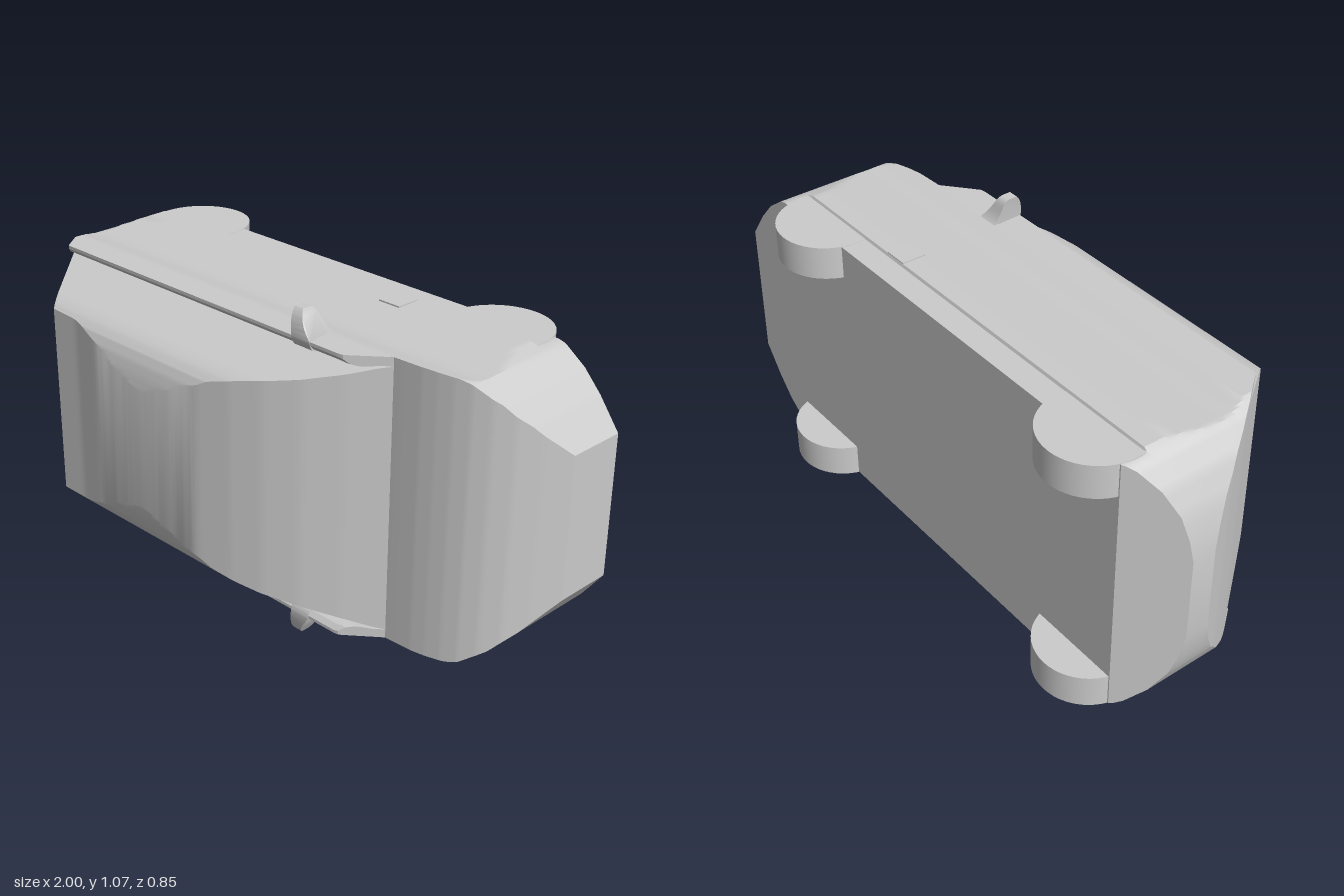
import * as THREE from 'three';
import { toCreasedNormals } from 'three/addons/utils/BufferGeometryUtils.js';

const material = new THREE.MeshStandardMaterial({ color: 0xcccccc, side: THREE.DoubleSide });

// The car lies on its side: length along x, height along z, width along y.
// Each rule is a list of [input, value] pairs read by linear interpolation.
const rule = (pts) => (t) => {
  if (t <= pts[0][0]) return pts[0][1];
  for (let i = 1; i < pts.length; i++) {
    const [a, va] = pts[i - 1], [b, vb] = pts[i];
    if (t <= b) return va + ((vb - va) * (t - a)) / (b - a);
  }
  return pts[pts.length - 1][1];
};

const planHalf = rule([[-1, 0.14], [-0.99, 0.21], [-0.97, 0.29], [-0.93, 0.37], [-0.88, 0.43], [-0.84, 0.457],
  [0.74, 0.457], [0.8, 0.44], [0.87, 0.39], [0.93, 0.325], [1, 0.23]]);
const sideHalf = rule([[-0.32, 0.447], [-0.236, 0.447], [-0.232, 0.456], [-0.16, 0.455], [-0.1, 0.448], [-0.04, 0.441],
  [0.02, 0.438], [0.06, 0.441], [0.12, 0.455]]);
const bodyTop = rule([[-1, -0.1], [-0.95, -0.01], [-0.9, 0.068], [-0.86, 0.125], [0.56, 0.125], [0.65, 0.121],
  [0.7, 0.114], [0.75, 0.103], [0.8, 0.086], [0.85, 0.058], [0.9, 0.017], [0.95, -0.045], [1, -0.12]]);
const bodyBottom = rule([[-1, -0.18], [-0.85, -0.318]]);
const roofTop = rule([[-0.86, 0.125], [-0.66, 0.382], [-0.55, 0.384], [-0.45, 0.4], [-0.33, 0.416], [-0.2, 0.422],
  [-0.08, 0.416], [0.04, 0.4], [0.15, 0.372], [0.25, 0.335], [0.35, 0.282], [0.45, 0.212], [0.56, 0.12]]);
const cabinHalf = rule([[0.11, 0.43], [0.15, 0.42], [0.2, 0.4], [0.25, 0.382], [0.3, 0.363], [0.34, 0.348],
  [0.37, 0.33], [0.39, 0.31], [0.405, 0.278], [0.415, 0.24], [0.423, 0.19]]);

const range = (a, b, n) => Array.from({ length: n + 1 }, (_, i) => a + ((b - a) * i) / n);

// Skin a series of counter-clockwise (y, z) sections along x, with end caps
function loft(xs, section) {
  const pos = [], index = [];
  const rings = xs.map(section), n = rings[0].length;
  rings.forEach((ring, i) => ring.forEach(([y, z]) => pos.push(xs[i], y, z)));
  for (let i = 0; i < xs.length - 1; i++) {
    for (let j = 0; j < n; j++) {
      const k = (j + 1) % n;
      const a = i * n + j, b = i * n + k, c = a + n, d = b + n;
      index.push(a, b, c, b, d, c);
    }
  }
  [0, xs.length - 1].forEach((i) => {
    const ring = rings[i], centre = pos.length / 3;
    pos.push(xs[i], ring.reduce((s, p) => s + p[0], 0) / n, ring.reduce((s, p) => s + p[1], 0) / n);
    for (let j = 0; j < n; j++) {
      const a = i * n + j, b = i * n + ((j + 1) % n);
      if (i) index.push(centre, a, b);
      else index.push(centre, b, a);
    }
  });
  const g = new THREE.BufferGeometry();
  g.setAttribute('position', new THREE.Float32BufferAttribute(pos, 3));
  g.setIndex(index);
  return toCreasedNormals(g, 0.4);
}

// Symmetric section: up one side, across the top and down the other
function symmetric(levels, bottom, top, half) {
  const side = levels.map((l) => {
    const z = Math.min(Math.max(l, bottom), top);
    return [half(z), z];
  });
  return [...side, ...side.map(([y, z]) => [-y, z]).reverse()];
}

// Mirror pod: side outline extruded, then narrowed towards its tip
function mirrorPod() {
  const s = new THREE.Shape();
  s.moveTo(0.1, 0.44);
  s.bezierCurveTo(0.15, 0.47, 0.135, 0.535, 0.17, 0.535);
  s.lineTo(0.195, 0.535);
  s.quadraticCurveTo(0.22, 0.51, 0.22, 0.455);
  s.quadraticCurveTo(0.215, 0.415, 0.18, 0.422);
  s.lineTo(0.13, 0.425);
  const g = new THREE.ExtrudeGeometry(s, { depth: 1, bevelEnabled: false, curveSegments: 12 });
  const p = g.attributes.position;
  for (let i = 0; i < p.count; i++) {
    const z = p.getX(i), y = p.getY(i), w = p.getZ(i);
    const t = Math.max(0, (y - 0.455) / 0.08);
    const front = 0.322 - 0.05 * Math.pow(t, 0.8), back = 0.25 - 0.012 * t;
    p.setXYZ(i, front + (back - front) * w, y, z);
  }
  return toCreasedNormals(g, 0.6);
}

export function createModel() {
  const group = new THREE.Group();
  const add = (name, geometry, x = 0, y = 0, z = 0) => {
    const m = new THREE.Mesh(geometry, material);
    m.name = name;
    m.position.set(x, y, z);
    group.add(m);
    return m;
  };
  group.position.y = 0;
  const car = new THREE.Group();
  car.name = 'car';

  // Lower body with bonnet, rounded corners and sculpted flanks
  const bodyXs = [...range(-1, -0.84, 16), ...range(-0.74, 0.46, 6), 0.56, ...range(0.6, 1, 40)];
  const bodyLevels = [...range(-0.32, -0.24, 4), -0.236, -0.232, ...range(-0.22, 0.125, 30)];
  add('body', loft(bodyXs, (x) => symmetric(bodyLevels, bodyBottom(x), bodyTop(x),
    (z) => Math.min(planHalf(x), sideHalf(z)))));

  // Cabin: side taper cut by the roofline
  const cabinXs = [...range(-0.86, -0.66, 16), ...range(-0.65, 0.56, 80)];
  const cabinLevels = [...range(0.11, 0.37, 20), ...range(0.375, 0.423, 16)];
  add('cabin', loft(cabinXs, (x) => symmetric(cabinLevels, 0.11, roofTop(x), cabinHalf)));

  // Raised shoulder along each side, with a narrow slot beside the cabin
  const inner = rule([[0.11, 0.427], [0.15, 0.427], [0.18, 0.422], [0.2, 0.426], [0.217, 0.445]]);
  const shoulder = loft([...range(-0.86, -0.78, 8), 0, ...range(0.4, 0.555, 10)], (x) => {
    const zs = range(0.11, Math.max(0.112, Math.min(0.217, roofTop(x))), 8);
    const outer = zs.map((z) => [Math.min(planHalf(x), sideHalf(z)), z]);
    return [...outer, ...zs.map((z) => [Math.min(inner(z), planHalf(x) - 0.004), z]).reverse()];
  });
  const pod = mirrorPod();
  const handle = new THREE.BoxGeometry(0.08, 0.01, 0.08);
  const wheel = new THREE.CylinderGeometry(0.165, 0.165, 0.11, 48);

  for (const [side, s] of [['left', 1], ['right', -1]]) {
    add(`${side}Shoulder`, shoulder).scale.y = s;
    add(`${side}Mirror`, pod).scale.y = s;
    add(`${side}DoorHandle`, handle, 0.28, 0.454 * s, -0.192);
    add(`${side}FrontWheel`, wheel, 0.6, 0.393 * s, -0.265);
    add(`${side}RearWheel`, wheel, -0.69, 0.393 * s, -0.265);
  }

  // Lift so the lower mirror rests on the ground plane
  car.add(...group.children.slice());
  car.position.y = 0.536;
  group.add(car);
  return group;
}
